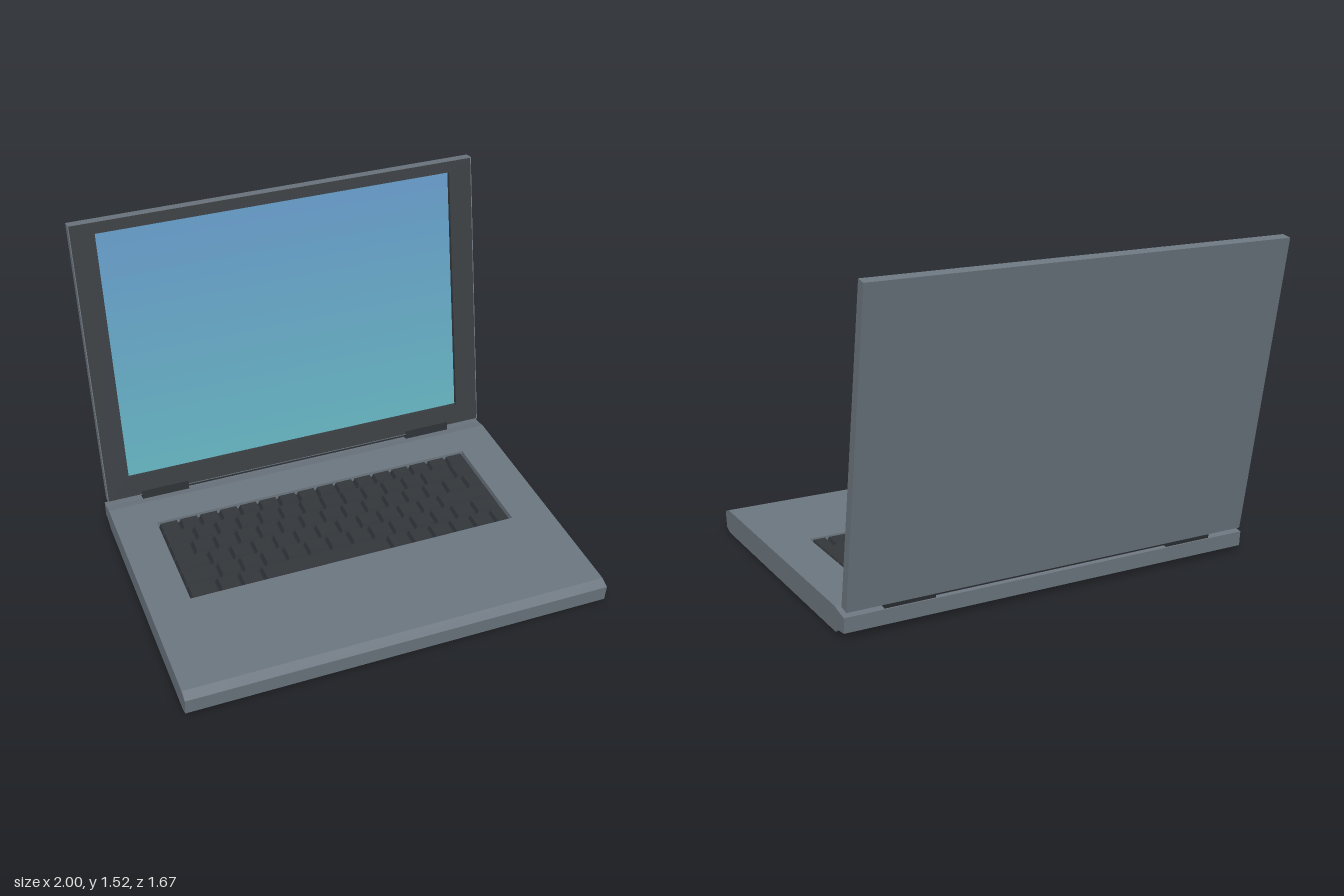
import * as THREE from 'three';

const mat = (color) => new THREE.MeshStandardMaterial({ color });
const shell = mat(0x6c767f), dark = mat(0x3a3e42), keyMat = mat(0x33373b), hingeMat = mat(0x2c3034);

function mesh(name, geometry, material, parent) {
  const m = new THREE.Mesh(geometry, material);
  m.name = name;
  parent.add(m);
  return m;
}

function box(name, w, h, d, x, y, z, material, parent) {
  return mesh(name, new THREE.BoxGeometry(w, h, d).translate(x, y, z), material, parent);
}

// Extrude a (z, y) side profile between two x positions
function slab(name, points, x0, x1, parent) {
  const shape = new THREE.Shape(points.map(([z, y]) => new THREE.Vector2(z, y)));
  const g = new THREE.ExtrudeGeometry(shape, { depth: x1 - x0, bevelEnabled: false });
  return mesh(name, g.rotateY(-Math.PI / 2).translate(x1, 0, 0), shell, parent);
}

// Rectangular frame: outer and inner given as [halfWidth, bottom, top]
function frame(name, outer, inner, z0, z1, material, parent) {
  const rect = ([w, b, t]) => [[-w, b], [w, b], [w, t], [-w, t]].map(([x, y]) => new THREE.Vector2(x, y));
  const shape = new THREE.Shape(rect(outer));
  shape.holes.push(new THREE.Path(rect(inner)));
  const g = new THREE.ExtrudeGeometry(shape, { depth: z1 - z0, bevelEnabled: false });
  return mesh(name, g.translate(0, 0, z0), material, parent);
}

// Key cap: box whose top is drawn in by a fixed inset
function keyCap(w, h, d, inset) {
  const g = new THREE.BoxGeometry(w, h, d).toNonIndexed();
  const p = g.attributes.position;
  for (let i = 0; i < p.count; i++) {
    if (p.getY(i) > 0) {
      p.setX(i, p.getX(i) - Math.sign(p.getX(i)) * inset);
      p.setZ(i, p.getZ(i) - Math.sign(p.getZ(i)) * inset);
    }
  }
  g.computeVertexNormals();
  return g;
}

function createBase() {
  const base = new THREE.Group();
  base.name = 'base';
  const lower = [[-0.585, 0.095], [-0.58, 0.025], [-0.52, 0.018], [-0.495, 0], [0.79, 0], [0.826, 0.015], [0.835, 0.095], [0.79, 0.113]];
  const upper = [[-0.49, 0.113], [-0.54, 0.102]];
  const well = [[0.252, 0.113], [0.252, 0.08], [-0.322, 0.08], [-0.322, 0.113]];
  // Solid sides, and a middle with the keyboard well
  slab('baseRightSide', [...lower, ...upper], -1, -0.805, base);
  slab('baseMiddle', [...lower, ...well, ...upper], -0.805, 0.805, base);
  slab('baseLeftSide', [...lower, ...upper], 0.805, 1, base);
  box('keyboardTray', 1.608, 0.004, 0.572, 0, 0.082, -0.035, hingeMat, base);
  return base;
}

function createKeyboard() {
  const keyboard = new THREE.Group();
  keyboard.name = 'keyboard';
  const run = (n) => Array(n).fill(20);
  const rows = [
    run(16),
    [27, ...run(11), 30, 20],
    [...run(14), 16],
    [30, ...run(11), 50],
    [32, ...run(12), 24],
    [26, 20, 20, 117, ...run(5), 14],
  ];
  const edges = [-0.32, -0.243, -0.146, -0.048, 0.05, 0.149, 0.25];
  const gap = 0.006;
  rows.forEach((widths, r) => {
    const unit = 1.6 / widths.reduce((a, b) => a + b, 0);
    const depth = edges[r + 1] - edges[r];
    let x = -0.8;
    for (const units of widths) {
      const w = units * unit;
      const key = mesh('key', keyCap(w - gap, 0.026, depth - gap, 0.007), keyMat, keyboard);
      key.position.set(x + w / 2, 0.097, edges[r] + depth / 2);
      x += w;
    }
  });
  return keyboard;
}

function createLid() {
  const lid = new THREE.Group();
  lid.name = 'lid';
  const H = 1.415, T = 0.048, recess = 0.024, rim = 0.004;
  const outer = [0.99, 0, H], inset = [0.99 - rim, rim, H - rim], opening = [0.873, 0.107, 1.357];

  // Back panel, outer rim and the dark bezel around the recessed screen
  box('lidBack', 1.98, H, T - recess, 0, H / 2, -(T + recess) / 2, shell, lid);
  frame('lidRim', outer, inset, -recess, 0, shell, lid);
  frame('bezel', inset, opening, -recess, 0, dark, lid);

  // Screen shaded from blue at the top to teal at the bottom
  const strips = 16, [w, b, t] = opening, h = (t - b) / strips;
  const low = new THREE.Color(0x62b0bd), high = new THREE.Color(0x6499c6);
  for (let i = 0; i < strips; i++) {
    const color = low.clone().lerp(high, i / (strips - 1));
    const strip = mesh('screen', new THREE.PlaneGeometry(2 * w, h), mat(color), lid);
    strip.position.set(0, b + h * (i + 0.5), -recess + 0.002);
  }

  // Hinges and the slim bar between them
  for (const s of [-1, 1]) box('hinge', 0.235, 0.045, 0.046, s * 0.7, -0.003, -0.021, hingeMat, lid);
  box('hingeBar', 1.17, 0.016, 0.03, 0, -0.006, -0.024, hingeMat, lid);

  lid.position.set(0, 0.125, -0.54);
  lid.rotation.x = -THREE.MathUtils.degToRad(10);
  return lid;
}

export function createModel() {
  const model = new THREE.Group();
  model.name = 'laptop';
  model.add(createBase(), createKeyboard(), createLid());
  return model;
}
